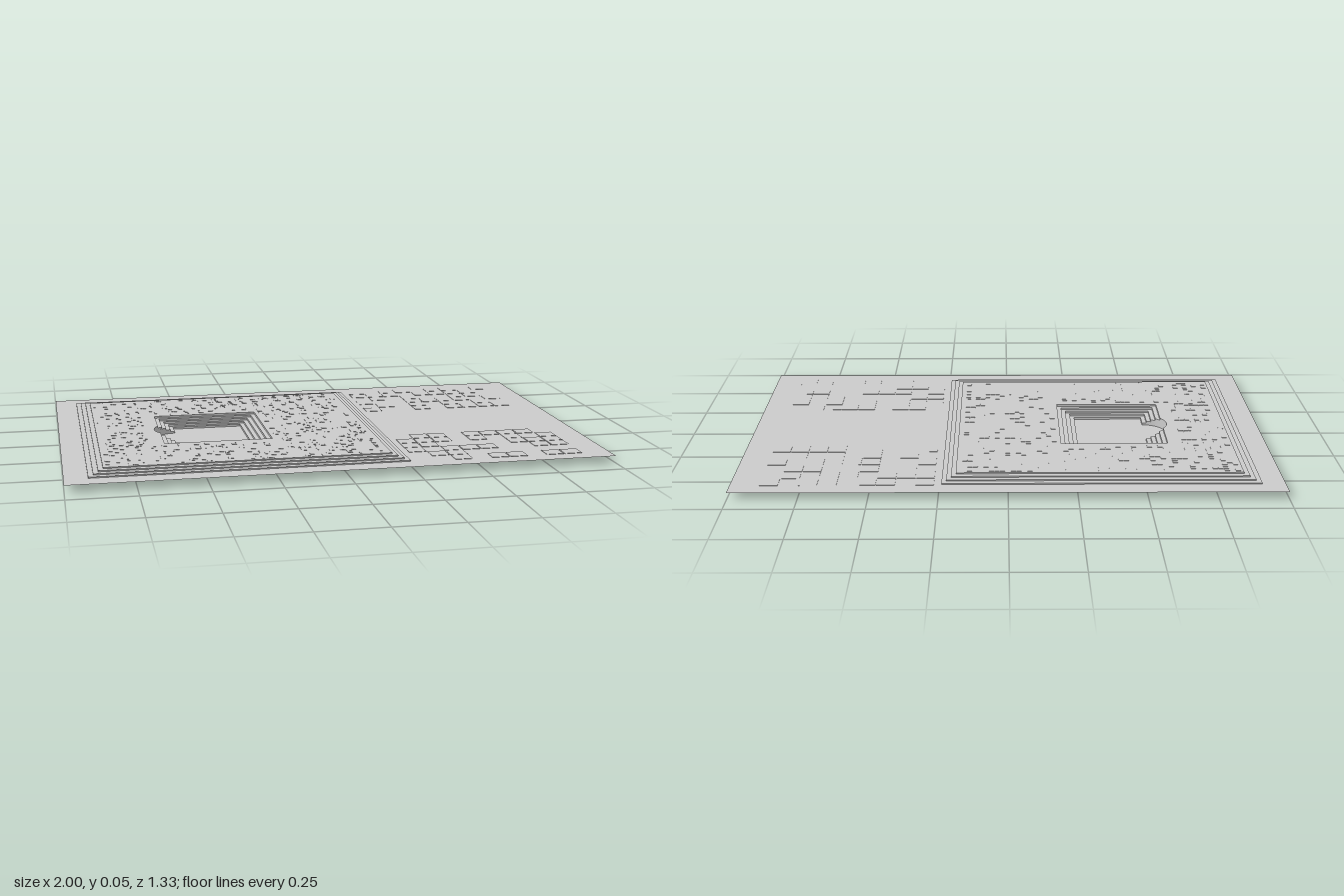
import * as THREE from 'three';
import { mergeGeometries } from 'three/addons/utils/BufferGeometryUtils.js';

const GROUND = 0.027, TOP = 0.044;
const PIT = [-0.66, -0.19, 0.245]; // left x, right x, half depth

export function createModel() {
  const group = new THREE.Group();
  const mat = new THREE.MeshStandardMaterial({ color: 0xcccccc, flatShading: true, side: THREE.DoubleSide });
  const add = (name, geo) => {
    const mesh = new THREE.Mesh(geo, mat);
    mesh.name = name;
    group.add(mesh);
  };

  let seed = 7;
  const rand = () => (seed = (seed * 16807) % 2147483647) / 2147483647;

  const trace = (path, x0, x1, h) => {
    path.moveTo(x1, -h); path.lineTo(x1, h); path.lineTo(x0, h); path.lineTo(x0, -h); path.closePath();
    return path;
  };
  const slab = (outer, hole, y, height) => {
    const shape = trace(new THREE.Shape(), ...outer);
    if (hole) shape.holes.push(hole);
    return new THREE.ExtrudeGeometry(shape, { depth: height, bevelEnabled: false, curveSegments: 24 })
      .rotateX(-Math.PI / 2).translate(0, y, 0);
  };
  const pitHole = () => trace(new THREE.Path(), ...PIT);

  // Thin ground sheet, open where the sunken court passes through
  const sheet = trace(new THREE.Shape(), -1, 1, 0.667);
  sheet.holes.push(pitHole());
  add('ground', new THREE.ShapeGeometry(sheet).rotateX(-Math.PI / 2).translate(0, GROUND, 0));

  // Raised terrace with shallow steps on all four sides
  const steps = 4, rise = (TOP - GROUND) / steps;
  for (let i = 0; i < steps; i++) {
    const t = i / (steps - 1);
    const outer = [-0.915 + 0.055 * t, 0.24 - 0.05 * t, 0.592 - 0.07 * t];
    add('terraceStep', slab(outer, pitHole(), GROUND + i * rise, rise));
  }

  // Sunken court: floor, then seating steps widening upward around a round niche
  add('courtFloor', slab(PIT, null, 0, 0.004));
  const cx = -0.545, r = 0.089;
  for (let i = 0; i < 5; i++) {
    const d = i * 0.0172;
    const x0 = -0.546 - d, x1 = -0.274 + d, h = 0.156 + d;
    const a = Math.acos((x0 - cx) / r);
    const hole = new THREE.Path();
    hole.moveTo(x1, -h);
    hole.lineTo(x1, h);
    hole.lineTo(x0, h);
    hole.absarc(cx, 0, r, a, 2 * Math.PI - a, false);
    hole.lineTo(x0, -h);
    hole.closePath();
    add('courtStep', slab(PIT, hole, 0.004 + i * 0.008, 0.008));
  }

  const tile = (x, y, z, w, d, h) => new THREE.BoxGeometry(w, h, d).translate(x, y + h / 2, z);

  // Small paving stones scattered over the terrace
  const stones = [];
  for (let x = -0.84; x < 0.18; x += 0.02) {
    for (let z = -0.5; z < 0.51; z += 0.02) {
      const overPit = x > -0.67 && x < -0.18 && Math.abs(z) < 0.255;
      if (!overPit && rand() < 0.25) stones.push(tile(x, TOP, z, 0.018, 0.018, 0.001));
    }
  }
  add('terracePaving', mergeGeometries(stones));

  // Larger low slabs in two fields beside the open central path
  const slabs = [];
  for (const side of [-1, 1]) {
    for (let i = 0; i < 9; i++) {
      for (let j = 0; j < 6; j++) {
        if (rand() < 0.6) slabs.push(tile(0.3 + i * 0.07, GROUND, side * (0.24 + j * 0.066), 0.066, 0.062, 0.0015));
      }
    }
  }
  add('gardenPaving', mergeGeometries(slabs));

  return group;
}
